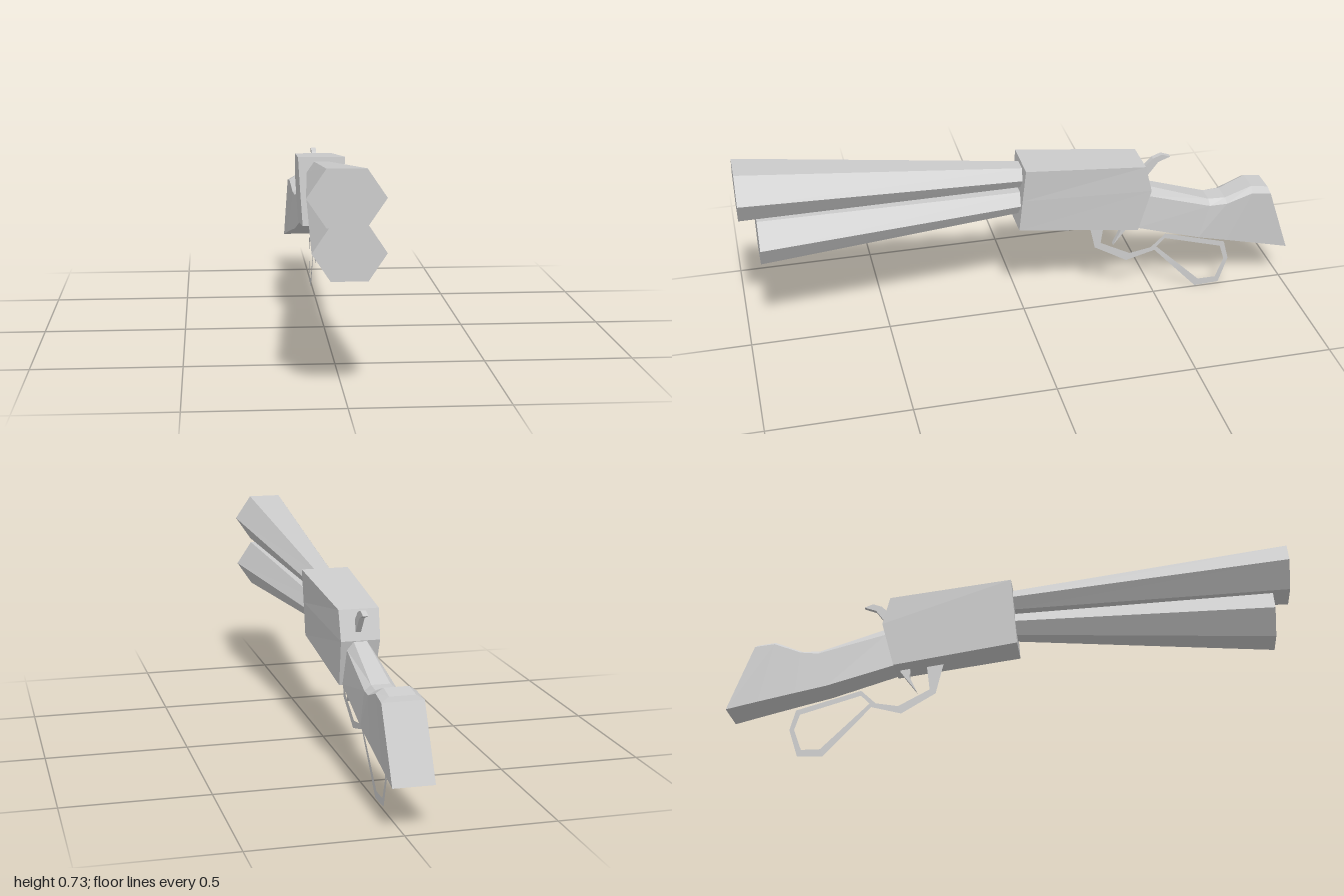
import * as THREE from 'three';

const material = new THREE.MeshStandardMaterial({ color: 0xcccccc, flatShading: true });
const sheetMaterial = new THREE.MeshStandardMaterial({ color: 0xcccccc, flatShading: true, side: THREE.DoubleSide });

// Six-cornered section from three rows (bottom, middle, top), each [z, y, centre x, half width]
function section(bottom, middle, top) {
  const corner = ([z, y, cx, hw], side) => [cx + side * hw, y, z];
  return [
    corner(bottom, -1), corner(bottom, 1), corner(middle, 1),
    corner(top, 1), corner(top, -1), corner(middle, -1),
  ];
}

// Closed faceted skin through sections ordered front to back
function loft(name, sections) {
  const pos = [];
  const quad = (a, b, c, d) => pos.push(...a, ...b, ...c, ...a, ...c, ...d);
  for (let s = 0; s < sections.length - 1; s++) {
    const a = sections[s], b = sections[s + 1];
    for (let i = 0; i < 6; i++) {
      const j = (i + 1) % 6;
      quad(a[i], b[i], b[j], a[j]);
    }
  }
  const f = sections[0], r = sections[sections.length - 1];
  quad(f[0], f[1], f[2], f[5]);
  quad(f[5], f[2], f[3], f[4]);
  quad(r[5], r[2], r[1], r[0]);
  quad(r[4], r[3], r[2], r[5]);
  const geo = new THREE.BufferGeometry();
  geo.setAttribute('position', new THREE.Float32BufferAttribute(pos, 3));
  geo.computeVertexNormals();
  const mesh = new THREE.Mesh(geo, material);
  mesh.name = name;
  return mesh;
}

// Hexagonal barrel section with flat top and bottom
function hex(z, y, cx, radius, halfHeight) {
  return section(
    [z, y - halfHeight, cx, radius / 2],
    [z, y, cx, radius],
    [z, y + halfHeight, cx, radius / 2],
  );
}

const points = (list) => list.map(([z, y]) => new THREE.Vector2(z, y));

// Side profile in (z, y), given a thickness across x
function profile(name, outline, thickness, hole) {
  const shape = new THREE.Shape(points(outline));
  if (hole) shape.holes.push(new THREE.Path(points(hole)));
  const geo = thickness
    ? new THREE.ExtrudeGeometry(shape, { depth: thickness, bevelEnabled: false })
    : new THREE.ShapeGeometry(shape);
  geo.translate(0, 0, -thickness / 2).rotateY(-Math.PI / 2);
  const mesh = new THREE.Mesh(geo, thickness ? material : sheetMaterial);
  mesh.name = name;
  mesh.position.x = -0.005;
  return mesh;
}

export function createModel() {
  const model = new THREE.Group();
  model.name = 'leverRifle';

  // Flared barrels
  model.add(loft('upperBarrel', [hex(1, 0.637, -0.005, 0.12, 0.088), hex(-0.02, 0.566, -0.01, 0.05, 0.036)]));
  model.add(loft('lowerBarrel', [hex(0.94, 0.46, 0.009, 0.114, 0.085), hex(-0.02, 0.471, -0.008, 0.054, 0.04)]));

  // Receiver with a ridged rear face
  model.add(loft('receiver', [
    section([0.03, 0.378, -0.01, 0.068], [0.02, 0.5, -0.01, 0.076], [0.01, 0.622, -0.009, 0.084]),
    section([-0.413, 0.314, -0.01, 0.06], [-0.456, 0.474, -0.011, 0.067], [-0.43, 0.576, -0.011, 0.069]),
  ]));

  // Stock with a chamfered comb
  model.add(loft('stock', [
    section([-0.413, 0.316, -0.011, 0.05], [-0.445, 0.443, -0.01, 0.043], [-0.445, 0.475, -0.01, 0.022]),
    section([-0.65, 0.244, -0.013, 0.056], [-0.687, 0.372, -0.013, 0.054], [-0.687, 0.39, -0.013, 0.032]),
    section([-0.76, 0.217, -0.017, 0.06], [-0.75, 0.376, -0.013, 0.06], [-0.75, 0.39, -0.013, 0.036]),
    section([-0.89, 0.184, -0.023, 0.065], [-0.845, 0.41, -0.015, 0.066], [-0.847, 0.427, -0.015, 0.041]),
    section([-1, 0.155, -0.028, 0.069], [-0.915, 0.4, -0.016, 0.069], [-0.91, 0.417, -0.016, 0.043]),
  ]));

  // Thin looped lever
  model.add(profile('lever', [
    [-0.24, 0.345], [-0.268, 0.226], [-0.39, 0.153], [-0.498, 0.182], [-0.665, 0],
    [-0.757, 0.004], [-0.79, 0.105], [-0.77, 0.18], [-0.537, 0.247], [-0.483, 0.196],
    [-0.402, 0.182], [-0.29, 0.242], [-0.302, 0.335],
  ], 0, [
    [-0.505, 0.196], [-0.537, 0.228], [-0.755, 0.163], [-0.773, 0.105], [-0.744, 0.028], [-0.676, 0.028],
  ]));

  // Trigger and hammer
  model.add(profile('trigger', [[-0.36, 0.34], [-0.362, 0.29], [-0.335, 0.232], [-0.395, 0.31], [-0.4, 0.335]], 0.018));
  model.add(profile('hammer', [
    [-0.425, 0.53], [-0.472, 0.576], [-0.505, 0.588], [-0.536, 0.576], [-0.493, 0.56], [-0.445, 0.497], [-0.425, 0.497],
  ], 0.018));

  return model;
}
